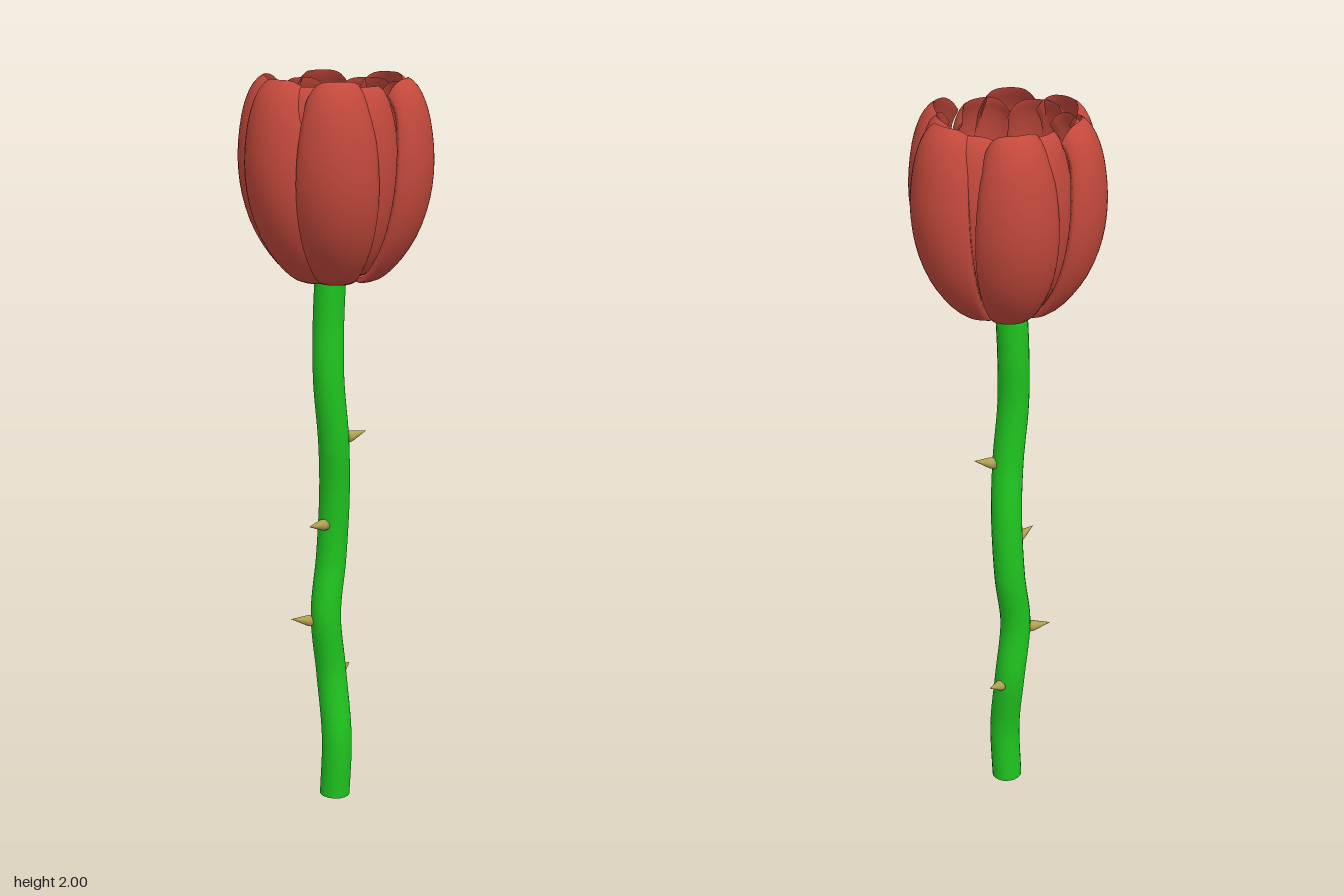
import * as THREE from 'three';

const V2 = (x, y) => new THREE.Vector2(x, y);
const V3 = (x, y, z) => new THREE.Vector3(x, y, z);
const mat = (color) => new THREE.MeshStandardMaterial({ color, roughness: 0.8 });

function addMesh(parent, name, geometry, material) {
  const mesh = new THREE.Mesh(geometry, material);
  mesh.name = name;
  parent.add(mesh);
  return mesh;
}

// Curved, closed petal shell: a (radius, height) profile swept around the flower's axis
function petalGeometry(profile, angle, halfAngle, skew, thickness) {
  const rows = 24, cols = 14, ring = 2 * (cols + 1);
  const positions = [], index = [];
  for (let j = 0; j <= rows; j++) {
    const v = j / rows;
    const p = profile.getPoint(v), t = profile.getTangent(v);
    // Thickness closes to zero at the base and the rim
    const half = 0.5 * thickness * Math.sqrt(Math.min(1, 12 * v, 12 * (1 - v)));
    const spread = halfAngle * (0.85 + 0.15 * Math.sin(Math.PI * Math.min(1, v * 1.2)));
    for (let k = 0; k < ring; k++) {
      const outside = k <= cols;
      const u = (outside ? k : ring - 1 - k) / cols * 2 - 1;
      const offset = outside ? half : -half;
      const r = p.x * (1 - 0.13 * u * u) + skew * u * v + t.y * offset;
      const y = p.y - 0.04 * u ** 4 * v ** 3 - t.x * offset;
      const a = angle + u * spread;
      positions.push(r * Math.cos(a), y, r * Math.sin(a));
    }
  }
  for (let j = 0; j < rows; j++) {
    for (let k = 0; k < ring; k++) {
      const a = j * ring + k, c = j * ring + (k + 1) % ring;
      index.push(a, a + ring, c, c, a + ring, c + ring);
    }
  }
  const g = new THREE.BufferGeometry();
  g.setAttribute('position', new THREE.Float32BufferAttribute(positions, 3));
  g.setIndex(index);
  g.computeVertexNormals();
  return g;
}

export function createModel() {
  const flower = new THREE.Group();
  flower.name = 'flower';
  const green = mat(0x1fc41f), red = mat(0xc4493c), yellow = mat(0xc8c460), olive = mat(0xb0a050);

  // Wavy stem
  const path = new THREE.CatmullRomCurve3([
    V3(-0.005, 0, 0), V3(0, 0.17, -0.003), V3(-0.028, 0.36, -0.013), V3(-0.033, 0.53, 0.004),
    V3(-0.033, 0.69, -0.02), V3(-0.022, 0.88, -0.021), V3(-0.011, 1.03, -0.003),
    V3(-0.015, 1.2, 0.013), V3(-0.021, 1.35, 0.006), V3(-0.017, 1.51, 0)
  ]);
  addMesh(flower, 'stem', new THREE.TubeGeometry(path, 80, 0.042, 24), green);
  const base = addMesh(flower, 'stemBase', new THREE.CircleGeometry(0.042, 24), green);
  base.rotation.x = Math.PI / 2;
  base.position.set(-0.005, 0.001, 0);

  // Thorns: base and tip
  const thorns = [
    [V3(0.005, 1.032, -0.035), V3(0.037, 1.047, -0.085)],
    [V3(-0.026, 0.792, 0.012), V3(-0.026, 0.803, 0.085)],
    [V3(-0.055, 0.512, 0.03), V3(-0.097, 0.521, 0.078)],
    [V3(-0.029, 0.342, -0.045), V3(-0.03, 0.357, -0.1)]
  ];
  for (const [from, to] of thorns) {
    const dir = to.clone().sub(from), length = dir.length();
    const profile = [V2(0, 0), V2(0.016, 0), V2(0.015, length * 0.25), V2(0.008, length * 0.6), V2(0, length)];
    const thorn = addMesh(flower, 'thorn', new THREE.LatheGeometry(profile, 14), olive);
    thorn.position.copy(from);
    thorn.quaternion.setFromUnitVectors(V3(0, 1, 0), dir.normalize());
  }

  // Flower centre: flattened dome with a shallow ring on top
  const dome = [
    V2(0, 1.48), V2(0.045, 1.482), V2(0.075, 1.495), V2(0.091, 1.52), V2(0.086, 1.542),
    V2(0.073, 1.557), V2(0.064, 1.561), V2(0.059, 1.557), V2(0.053, 1.56), V2(0.03, 1.563), V2(0, 1.564)
  ];
  addMesh(flower, 'flowerCentre', new THREE.LatheGeometry(dome, 40), yellow).position.x = -0.011;

  // Two whorls of six petals
  const outer = new THREE.SplineCurve([
    V2(0.05, 1.495), V2(0.1, 1.478), V2(0.155, 1.515), V2(0.212, 1.595), V2(0.246, 1.69),
    V2(0.257, 1.79), V2(0.247, 1.89), V2(0.226, 1.955), V2(0.195, 1.998)
  ]);
  const inner = new THREE.SplineCurve([
    V2(0.05, 1.505), V2(0.09, 1.495), V2(0.132, 1.53), V2(0.172, 1.6), V2(0.2, 1.69),
    V2(0.212, 1.79), V2(0.207, 1.88), V2(0.192, 1.945), V2(0.17, 1.982)
  ]);
  const rad = THREE.MathUtils.degToRad;
  for (const a of [-81, -17, 50, 101, 157, 219])
    addMesh(flower, 'outerPetal', petalGeometry(outer, rad(a), rad(28), 0.012, 0.013), red);
  for (const a of [-97, -40, 22, 80, 135, 195])
    addMesh(flower, 'innerPetal', petalGeometry(inner, rad(a), rad(35), 0.018, 0.011), red);

  return flower;
}
